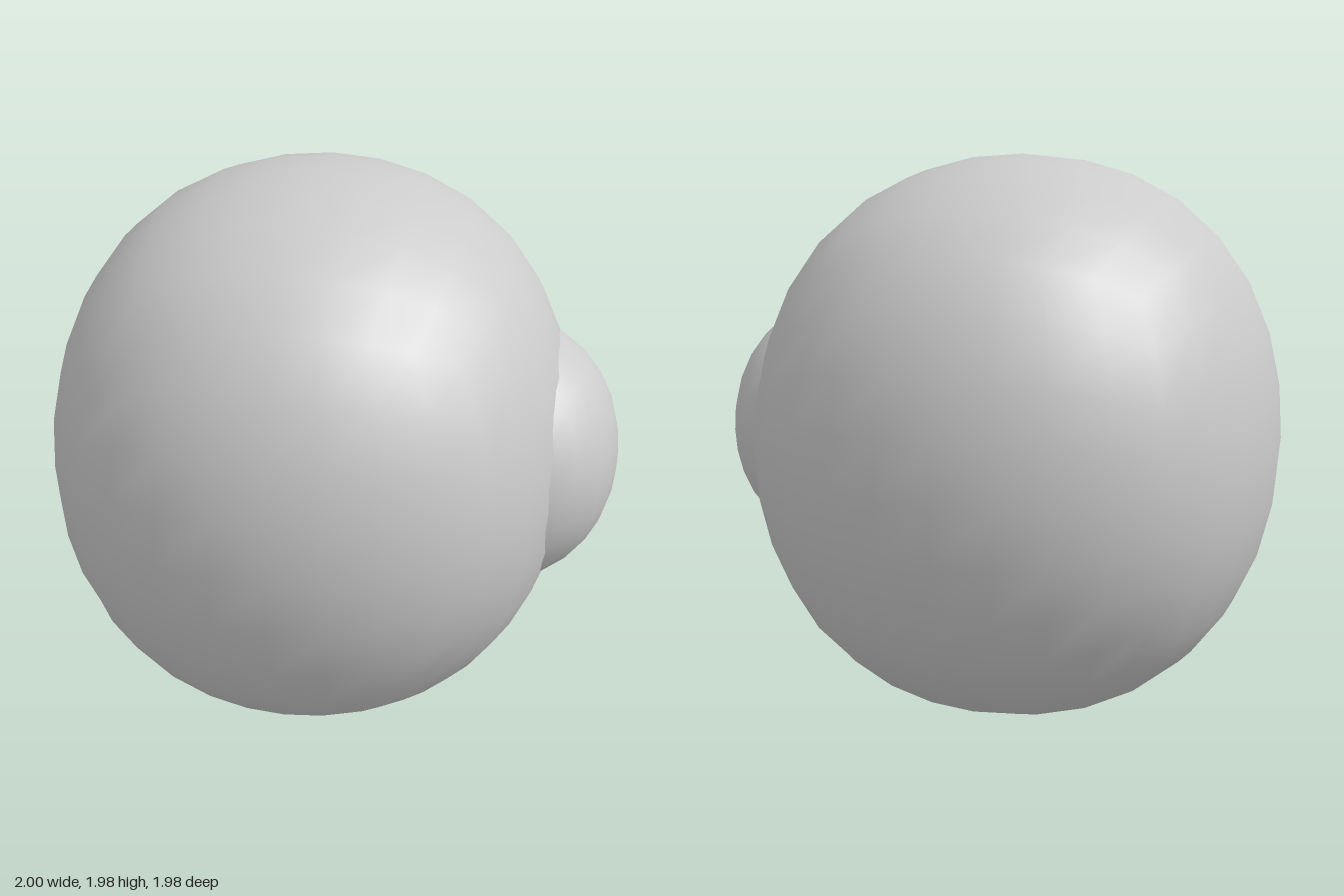
import * as THREE from 'three';
import { mergeVertices } from 'three/addons/utils/BufferGeometryUtils.js';

const SEGMENTS = 8; // quads along each side of the rounded cube
const BULGE = 0.056; // slight fullness towards the cube's edges and corners

// A cube rounded into a ball of quads, a little fuller along the diagonals
function roundedCubeBall(rx, ry, rz) {
  let geo = new THREE.BoxGeometry(2, 2, 2, SEGMENTS, SEGMENTS, SEGMENTS);
  geo.deleteAttribute('uv');
  geo.deleteAttribute('normal');
  const pos = geo.attributes.position;
  const v = new THREE.Vector3();
  const even = (t) => Math.tan((t * Math.PI) / 4); // equal angles between rows
  for (let i = 0; i < pos.count; i++) {
    v.fromBufferAttribute(pos, i);
    v.set(even(v.x), even(v.y), even(v.z)).normalize();
    const r = 1 + BULGE * (1 - v.x ** 4 - v.y ** 4 - v.z ** 4);
    pos.setXYZ(i, v.x * r * rx, v.y * r * ry, v.z * r * rz);
  }
  geo = mergeVertices(geo, 1e-4);
  geo.computeVertexNormals();
  return geo;
}

export function createModel() {
  const group = new THREE.Group();
  group.name = 'eyeball';
  const material = new THREE.MeshStandardMaterial({ color: 0xcccccc });

  // Main ball, slightly flattened along x
  const ball = new THREE.Mesh(roundedCubeBall(0.92, 0.99, 0.99), material);
  ball.name = 'ball';
  ball.position.set(-0.08, 0.99, 0);

  // Smaller ball bulging out of the +x side
  const cornea = new THREE.Mesh(roundedCubeBall(0.478, 0.478, 0.478), material);
  cornea.name = 'cornea';
  cornea.position.set(0.522, 0.99, 0);

  group.add(ball, cornea);
  return group;
}
